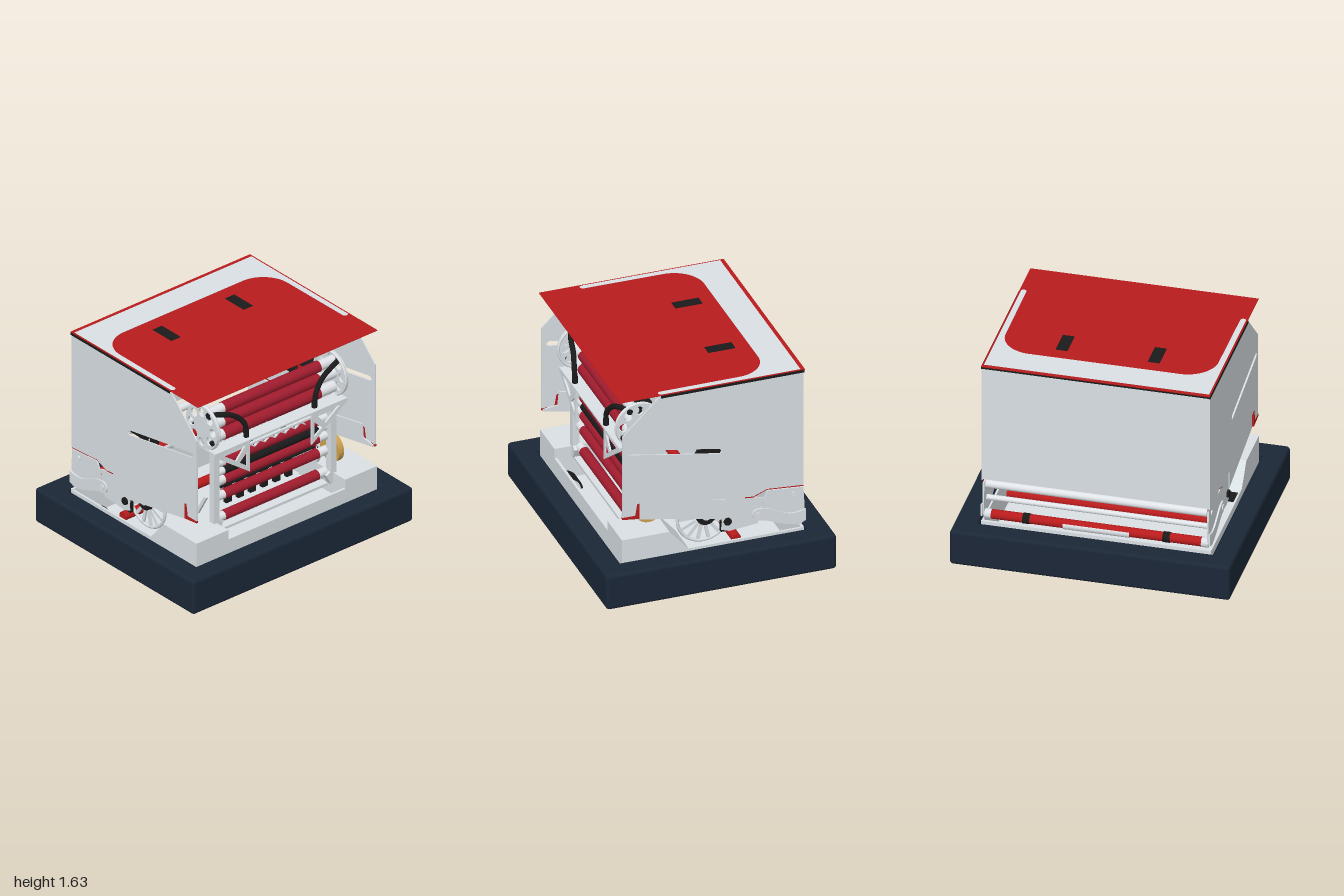
import * as THREE from 'three';
import { RoundedBoxGeometry } from 'three/addons/geometries/RoundedBoxGeometry.js';

export function createModel() {
  const model = new THREE.Group();
  const mat = (name, color) => {
    const m = new THREE.MeshStandardMaterial({ color });
    m.name = name;
    return m;
  };
  const navy = mat('bumper navy', 0x1b2737);
  const grey = mat('sheet grey', 0xd9e0e4);
  const silver = mat('tube silver', 0xe0e4e8);
  const red = mat('panel red', 0xb81b1c);
  const crimson = mat('roller crimson', 0xa01c2e);
  const black = mat('matte black', 0x1a1a1a);
  const gold = mat('brass', 0xd0a250);

  const add = (name, geo, m, x = 0, y = 0, z = 0) => {
    const mesh = new THREE.Mesh(geo, m);
    mesh.name = name;
    mesh.position.set(x, y, z);
    model.add(mesh);
    return mesh;
  };
  const box = (name, m, x0, x1, y0, y1, z0, z1) =>
    add(name, new THREE.BoxGeometry(x1 - x0, y1 - y0, Math.abs(z1 - z0)), m,
      (x0 + x1) / 2, (y0 + y1) / 2, (z0 + z1) / 2);
  const outline = (pts) => new THREE.Shape(pts.map((p) => new THREE.Vector2(...p)));
  const extrude = (shape, depth) => {
    const g = new THREE.ExtrudeGeometry(shape, { depth, bevelEnabled: false, curveSegments: 16 });
    return g.translate(0, 0, -depth / 2);
  };
  // Upright plate in the x-y plane, centred on z
  const plate = (name, m, pts, z, t, holes = []) => {
    const s = outline(pts);
    holes.forEach((h) => s.holes.push(outline(h)));
    return add(name, extrude(s, t), m, 0, 0, z);
  };
  // Cylinder lying along z
  const rod = (name, m, x, y, z, r, len, seg = 24) =>
    add(name, new THREE.CylinderGeometry(r, r, len, seg).rotateX(Math.PI / 2), m, x, y, z);

  // Bumper: four padded sides
  for (const s of [-1, 1]) {
    add('bumperLong', new RoundedBoxGeometry(0.16, 0.27, 2, 4, 0.025), navy, s * 0.767, 0.24, 0);
    add('bumperShort', new RoundedBoxGeometry(1.69, 0.27, 0.165, 4, 0.025), navy, 0, 0.24, s * 0.9175);
  }

  // Base tray and wheels
  box('basePlate', grey, -0.67, 0.67, 0.095, 0.12, -0.82, 0.82);
  box('trayWallBack', grey, -0.67, -0.65, 0.12, 0.38, -0.82, 0.82);
  box('trayWallFront', grey, 0.65, 0.67, 0.12, 0.46, -0.82, 0.82);
  for (const sx of [-1, 1]) for (const sz of [-1, 1]) {
    rod('tyre', black, sx * 0.535, 0.112, sz * 0.685, 0.112, 0.11, 32);
    rod('wheelDisc', grey, sx * 0.535, 0.112, sz * 0.685, 0.097, 0.116, 32);
  }

  for (const s of [-1, 1]) {
    // Tray side walls, raised end pods and dark floor openings
    box('traySide', grey, -0.67, 0.67, 0.12, 0.375, s * 0.82, s * 0.805);
    plate('sidePod', grey, [[0.17, 0.36], [0.32, 0.535], [0.67, 0.535], [0.67, 0.36]], s * 0.675, 0.29);
    add('floorOpening', new THREE.CylinderGeometry(0.055, 0.055, 0.004, 20), black, -0.31, 0.095, s * 0.69);

    // Hopper side with a long tilted slot
    plate('hopperSide', grey,
      [[-0.67, 0.71], [-0.4, 0.73], [-0.3, 0.69], [-0.1, 0.71], [0.55, 0.8], [0.56, 0.71], [0.665, 0.71],
        [0.665, 1.35], [0.39, 1.62], [-0.67, 1.62]], s * 0.809, 0.01,
      [[[-0.055, 1.08], [-0.065, 1.1], [-0.05, 1.12], [0.61, 1.235], [0.63, 1.22], [0.62, 1.2]]]);
    box('rimStrip', black, -0.675, 0.38, 1.608, 1.627, s * 0.808, s * 0.818);
    plate('redCorner', red,
      [[0.54, 0.68], [0.665, 0.695], [0.665, 0.71], [0.57, 0.71], [0.555, 0.8], [0.54, 0.8]], s * 0.809, 0.016);
    plate('redSeam', red,
      [[-0.67, 0.698], [-0.4, 0.72], [-0.3, 0.678], [-0.24, 0.684], [-0.24, 0.7], [-0.3, 0.695],
        [-0.4, 0.735], [-0.67, 0.715]], s * 0.806, 0.004);

    // Lifting linkage
    plate('linkArmLong', grey,
      [[-0.09, 0.7], [0.54, 0.825], [0.55, 0.72], [0.66, 0.705], [0.65, 0.69], [-0.08, 0.55]], s * 0.797, 0.012);
    plate('linkArmMiddle', grey,
      [[-0.38, 0.655], [-0.11, 0.715], [-0.09, 0.66], [-0.07, 0.46], [-0.13, 0.44], [-0.34, 0.46]], s * 0.79, 0.012);
    plate('linkArmRear', grey,
      [[-0.68, 0.54], [-0.67, 0.69], [-0.41, 0.712], [-0.38, 0.65], [-0.36, 0.5],
        [-0.5, 0.44], [-0.67, 0.44]], s * 0.801, 0.012);
    const lever = new THREE.Shape();
    lever.moveTo(-0.34, 0.585).bezierCurveTo(-0.48, 0.58, -0.52, 0.46, -0.685, 0.52);
    lever.lineTo(-0.685, 0.43).lineTo(-0.64, 0.41).bezierCurveTo(-0.5, 0.42, -0.44, 0.48, -0.34, 0.495);
    lever.absarc(-0.335, 0.54, 0.045, -Math.PI / 2, Math.PI / 2);
    add('curvedLever', extrude(lever, 0.012), grey, 0, 0, s * 0.814);
    rod('leverPivot', silver, -0.335, 0.54, s * 0.816, 0.022, 0.02, 20);
    rod('rearPivot', silver, -0.6, 0.65, s * 0.805, 0.018, 0.02, 20);
    rod('blackPivot', black, -0.115, 0.52, s * 0.795, 0.028, 0.03, 20);
    box('pivotBlock', black, -0.105, -0.07, 0.44, 0.52, s * 0.76, s * 0.79);

    // Spoked drive wheel with a dark gear
    add('driveRing', new THREE.TorusGeometry(0.19, 0.012, 8, 40), grey, 0.04, 0.56, s * 0.73);
    for (let i = 0; i < 14; i++) {
      const a = (i / 14) * Math.PI * 2;
      const spoke = add('driveSpoke', new THREE.BoxGeometry(0.12, 0.024, 0.015), grey,
        0.04 + 0.125 * Math.cos(a), 0.56 + 0.125 * Math.sin(a), s * 0.73);
      spoke.rotation.z = a;
    }
    rod('driveGear', black, 0.02, 0.565, s * 0.73, 0.075, 0.03, 20);
    rod('driveHub', grey, 0.02, 0.565, s * 0.735, 0.035, 0.04, 16);

    // Dark lift columns inside the hopper
    box('columnCap', black, -0.07, 0.085, 1.09, 1.125, s * 0.58, s * 0.79);
    box('columnFoot', black, -0.06, 0.06, 0.71, 0.75, s * 0.56, s * 0.79);
    for (const z of [0.63, 0.725]) {
      add('liftColumn', new THREE.CylinderGeometry(0.032, 0.032, 0.36, 16), black, 0, 0.925, s * z);
    }

    // Roller frame uprights, foot and red post
    box('frameUpright', grey, 0.495, 0.545, 0.52, 1.12, s * 0.505, s * 0.555);
    plate('frameStrut', grey, [[0.29, 0.46], [0.43, 0.7], [0.455, 0.7], [0.32, 0.46]], s * 0.54, 0.02);
    box('redPost', red, 0.285, 0.312, 0.4, 0.82, s * 0.558, s * 0.57);

    // Round pierced end plate of the upper rollers
    const disc = new THREE.Shape().absarc(0, 0, 0.17, 0, Math.PI * 2);
    for (let i = 0; i < 8; i++) {
      const a = (i / 8) * Math.PI * 2;
      disc.holes.push(new THREE.Path().absarc(0.115 * Math.cos(a), 0.115 * Math.sin(a), 0.033, 0, Math.PI * 2));
    }
    add('upperEndPlate', extrude(disc, 0.018), grey, 0.46, 1.29, s * 0.585);
    add('upperEndRim', new THREE.TorusGeometry(0.165, 0.01, 8, 40), silver, 0.46, 1.29, s * 0.575);
    rod('slotPin', black, 0.58, 1.215, s * 0.598, 0.02, 0.02, 12);

    // Triangular bracket facing outward
    const tri = outline([[0.28, 1.13], [0.6, 1.13], [0.6, 1.11], [0.28, 0.88]]);
    tri.holes.push(outline([[0.305, 1.05], [0.305, 0.935], [0.375, 0.985]]));
    tri.holes.push(outline([[0.32, 1.105], [0.405, 1.01], [0.535, 1.105]]));
    const bracket = add('triangleBracket', extrude(tri, 0.014), grey, 0.6, 0, 0);
    bracket.rotation.y = -s * Math.PI / 2;

    // Bent black hose
    const path = new THREE.CatmullRomCurve3([[0.53, 1.41, 0.59], [0.56, 1.4, 0.5], [0.58, 1.36, 0.4],
      [0.6, 1.28, 0.325], [0.6, 1.18, 0.31]].map(([x, y, z]) => new THREE.Vector3(x, y, s * z)));
    add('hose', new THREE.TubeGeometry(path, 28, 0.019, 10), black);
    rod('hoseFitting', black, 0.53, 1.41, s * 0.585, 0.022, 0.03, 12);
    add('hoseTip', new THREE.CylinderGeometry(0.02, 0.02, 0.05, 12), black, 0.6, 1.195, s * 0.31);
  }

  // Hopper back wall and side guide
  box('hopperBack', grey, -0.672, -0.66, 0.72, 1.624, -0.81, 0.81);
  box('rimStripBack', black, -0.678, -0.672, 1.612, 1.627, -0.81, 0.81);
  box('guideRed', red, 0.08, 0.42, 1.125, 1.165, -0.61, -0.6);
  box('guideGrey', grey, 0.2, 0.5, 1.165, 1.2, -0.61, -0.6);

  // Lid with pale U-shaped border and dark pads
  box('lid', red, -0.68, 0.68, 1.626, 1.63, -0.815, 0.815);
  const border = new THREE.Shape();
  border.moveTo(-0.65, -0.803).lineTo(0.37, -0.803).absarc(0.37, -0.783, 0.02, -Math.PI / 2, Math.PI / 2);
  border.lineTo(-0.215, -0.76).absarc(-0.215, -0.54, 0.22, Math.PI * 1.5, Math.PI, true);
  border.lineTo(-0.435, 0.54).absarc(-0.215, 0.54, 0.22, Math.PI, Math.PI / 2, true);
  border.lineTo(0.37, 0.763).absarc(0.37, 0.783, 0.02, -Math.PI / 2, Math.PI / 2);
  border.lineTo(-0.65, 0.803);
  add('lidBorder', extrude(border, 0.003).rotateX(-Math.PI / 2), grey, 0, 1.6305, 0);
  for (const z of [-0.332, 0.325]) {
    box('lidPad', black, -0.33, -0.13, 1.629, 1.632, z - 0.042, z + 0.042);
    box('hangingStrap', black, -0.24, -0.22, 1.43, 1.626, z - 0.042, z + 0.042);
  }

  // Roller stack: [height, radius, colour, half length, hub half length]
  [[1.4, 0.042, crimson, 0.435, 0.575], [1.295, 0.042, crimson, 0.435, 0.575], [1.19, 0.045, crimson, 0.435, 0.575],
    [1.085, 0.037, crimson, 0.425, 0.5], [0.97, 0.037, crimson, 0.425, 0.5], [0.895, 0.03, black, 0.425, 0.5],
    [0.825, 0.037, crimson, 0.425, 0.5], [0.705, 0.037, crimson, 0.425, 0.5], [0.535, 0.037, crimson, 0.425, 0.5],
  ].forEach(([y, r, m, half, hub]) => {
    rod('roller', m, 0.49, y, 0, r, half * 2);
    rod('rollerHub', silver, 0.49, y, 0, r * 0.9, hub * 2);
  });
  rod('thinShaft', black, 0.46, 0.745, 0, 0.01, 0.85, 12);
  rod('lowerShaft', silver, 0.46, 0.48, 0, 0.018, 1.0, 16);
  for (let i = -3; i <= 3; i++) box('kickerBlock', black, 0.28, 0.312, 0.48, 0.65, i * 0.11 - 0.025, i * 0.11 + 0.025);

  // Cross plates of the roller frame
  box('crossShelf', grey, 0.5, 0.61, 1.126, 1.138, -0.6, 0.6);
  box('crossBar', grey, 0.53, 0.55, 1.045, 1.06, -0.52, 0.52);
  for (let i = -6; i < 6; i++) {
    const brace = add('crossBrace', new THREE.BoxGeometry(0.015, 0.008, 0.055), grey, 0.54, 1.035, (i + 0.5) * 0.046);
    brace.rotation.x = i % 2 ? 0.6 : -0.6;
  }
  box('frameFoot', grey, 0.44, 0.545, 0.455, 0.475, -0.48, 0.48);
  for (const s of [-1, 1]) {
    const corner = box('frameCorner', grey, 0.495, 0.545, 0.455, 0.545, s * 0.485, s * 0.53);
    corner.rotation.x = s * -0.45;
  }

  // Brass disc
  rod('brassDisc', gold, 0.41, 0.645, -0.63, 0.105, 0.045, 32);

  // Rear cross tubes, intake roller and inner red roller
  rod('rearTube', silver, -0.64, 0.67, 0, 0.03, 1.58);
  rod('rearTubeLower', silver, -0.62, 0.55, 0, 0.02, 1.58);
  rod('intakeRoller', red, -0.64, 0.43, 0, 0.034, 1.5);
  rod('intakeShaft', silver, -0.64, 0.425, 0, 0.036, 1.58 * 0.3);
  for (const s of [-1, 1]) {
    rod('intakeCollar', black, -0.64, 0.43, s * 0.5, 0.038, 0.05);
    rod('intakeEnd', grey, -0.64, 0.43, s * 0.775, 0.036, 0.05);
  }
  rod('innerRoller', red, -0.2, 0.34, 0, 0.034, 1.5);
  return model;
}
